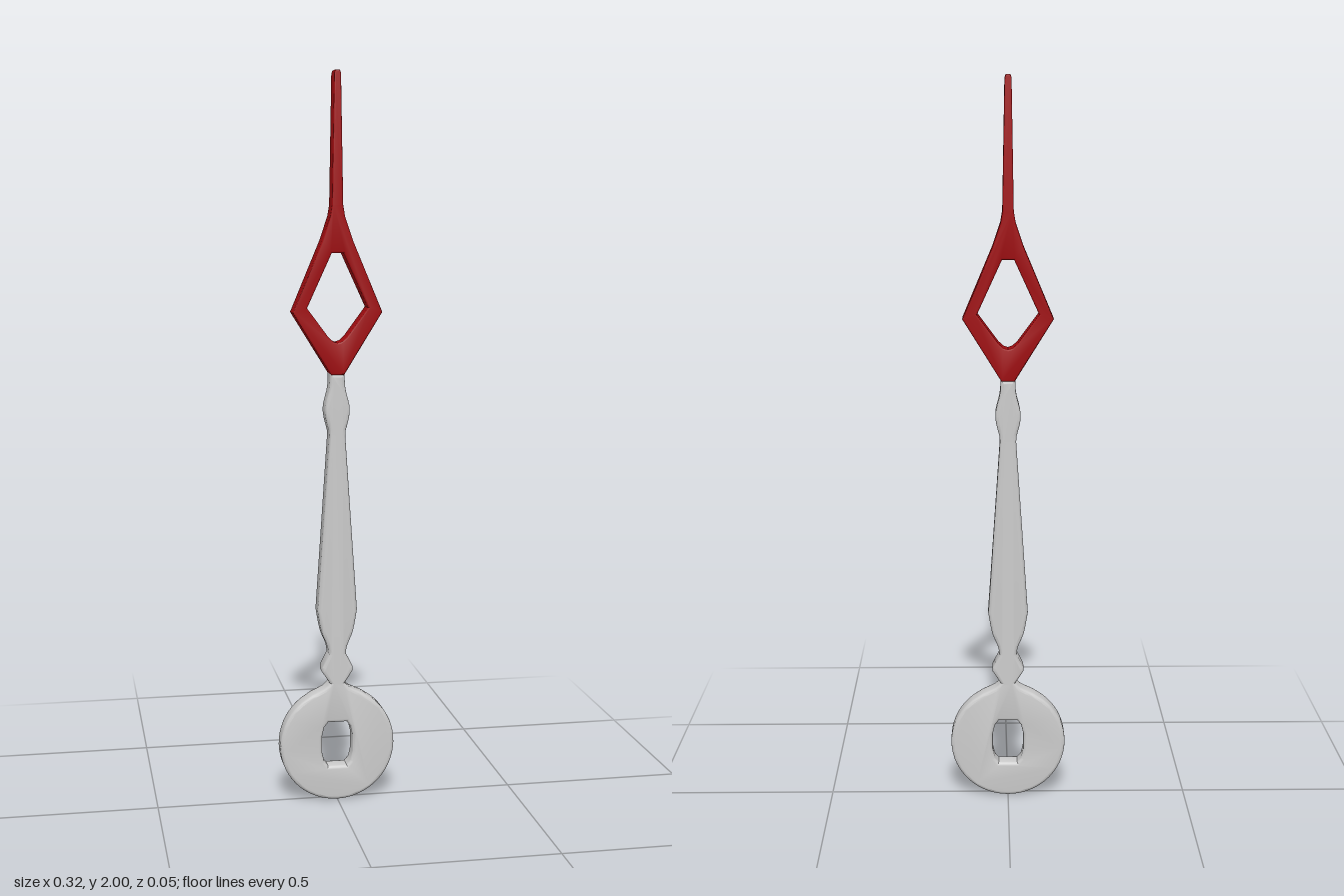
import * as THREE from 'three';
import { toCreasedNormals } from 'three/addons/utils/BufferGeometryUtils.js';

const THICKNESS = 0.053;

// Closed outline from the +x half, listed bottom to top, mirrored to -x
function mirrored(half, Type = THREE.Shape) {
  const right = half.map(([x, y]) => new THREE.Vector2(x, y));
  const left = half.filter(([x]) => x > 0).reverse().map(([x, y]) => new THREE.Vector2(-x, y));
  return new Type([...right, ...left]);
}

// Smooth run of points through a few control points
function smooth(points, n) {
  const curve = new THREE.SplineCurve(points.map(([x, y]) => new THREE.Vector2(x, y)));
  return curve.getPoints(n).map((p) => [p.x, p.y]);
}

// Flat plate with rounded edges, centred on z = 0
function plate(name, outline, hole, color, bevel) {
  outline.holes.push(hole);
  const depth = THICKNESS - 2 * bevel;
  const geometry = new THREE.ExtrudeGeometry(outline, {
    depth, bevelEnabled: true, bevelThickness: bevel, bevelSize: bevel, bevelOffset: -bevel, bevelSegments: 3,
  });
  geometry.translate(0, 0, -depth / 2);
  const mesh = new THREE.Mesh(toCreasedNormals(geometry, 0.55), new THREE.MeshStandardMaterial({ color }));
  mesh.name = name;
  return mesh;
}

export function createModel() {
  const group = new THREE.Group();
  group.name = 'clockHand';

  // Ring at the foot, drawn as an arc up to the shoulder
  const ring = [];
  for (let i = 0; i <= 24; i++) {
    const a = -Math.PI / 2 + (i / 24) * 2.48;
    ring.push([i ? 0.16 * Math.cos(a) : 0, 0.162 + 0.16 * Math.sin(a)]);
  }

  // Collar, swelling shaft and upper bead
  const stem = [
    ...smooth([[0.07, 0.307], [0.036, 0.323], [0.021, 0.338]], 4),
    [0.043, 0.372], [0.043, 0.384],
    ...smooth([[0.024, 0.422], [0.028, 0.445], [0.044, 0.485], [0.055, 0.545]], 9),
    [0.022, 1.03],
    ...smooth([[0.023, 1.045], [0.033, 1.085], [0.033, 1.115], [0.022, 1.16], [0.02, 1.2]], 10),
  ];

  // Slotted mounting hole
  const slot = mirrored([
    [0.026, 0.1], [0.037, 0.113], [0.043, 0.14], [0.043, 0.186], [0.037, 0.212], [0.026, 0.226],
  ], THREE.Path);
  group.add(plate('shaft', mirrored([...ring, ...stem]), slot, 0xcccccc, 0.009));

  // Pierced diamond running into a long pointer
  const diamond = mirrored([
    [0.018, 1.197], [0.122, 1.365], [0.042, 1.555], [0.02, 1.62], [0.015, 1.65], [0.009, 1.992], [0.006, 2],
  ]);
  const opening = mirrored([
    [0, 1.283], [0.012, 1.287], [0.026, 1.3], [0.083, 1.377], [0.016, 1.523],
  ], THREE.Path);
  group.add(plate('pointer', diamond, opening, 0xa00c10, 0.004));

  return group;
}
